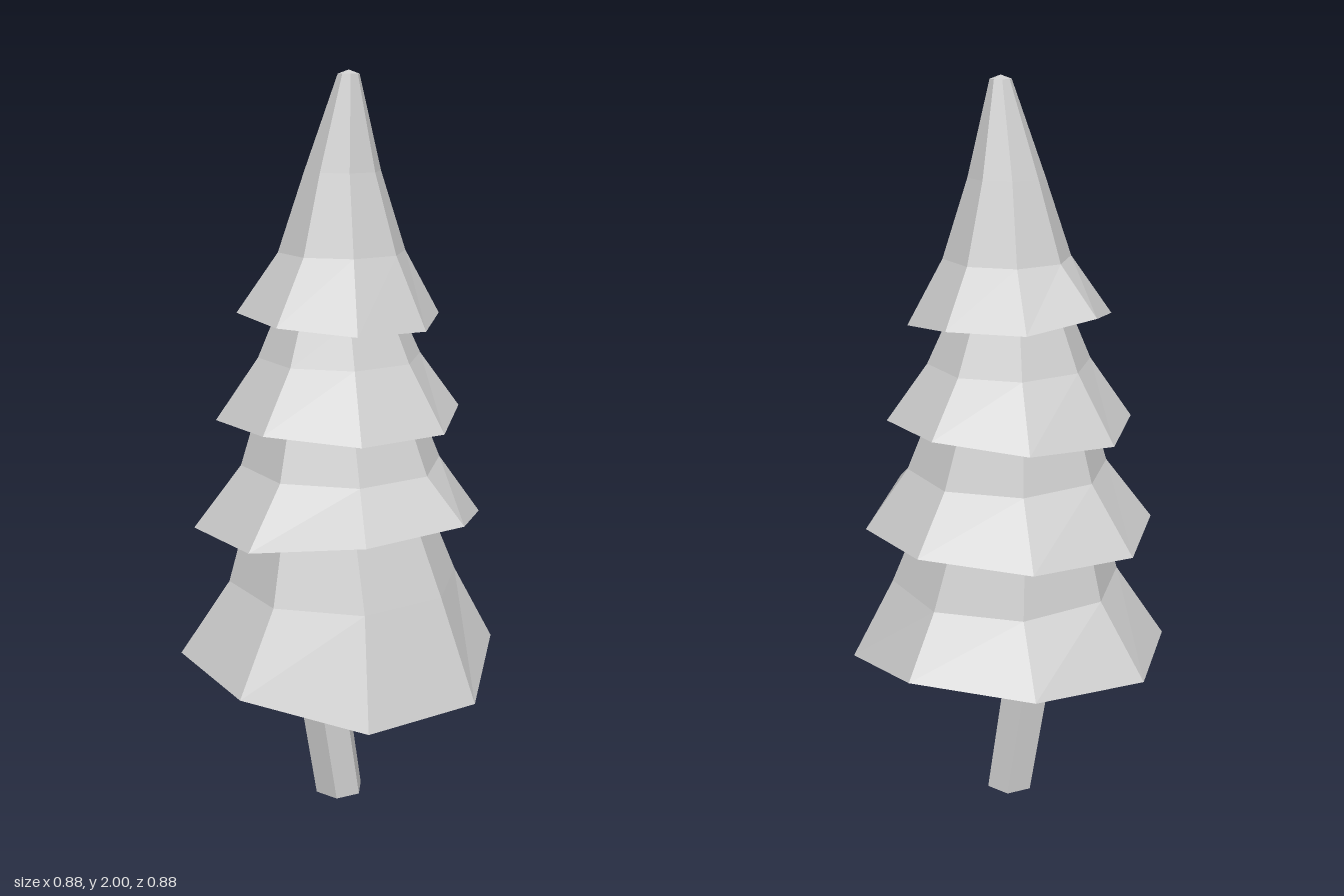
import * as THREE from 'three';

// Ring of points around (cx, cz); y is one height or a list of heights per corner.
function ring(sides, r, y, cx = 0, cz = 0) {
  return Array.from({ length: sides }, (_, i) => {
    const a = (i / sides) * Math.PI * 2;
    return new THREE.Vector3(cx + r * Math.cos(a), Array.isArray(y) ? y[i] : y, cz + r * Math.sin(a));
  });
}

function centre(points) {
  const c = new THREE.Vector3();
  points.forEach((p) => c.add(p));
  return c.divideScalar(points.length);
}

// Closed faceted skin through rings listed from bottom to top.
function loft(rings, capRise = 0) {
  const tris = [];
  const n = rings[0].length;
  const last = rings[rings.length - 1];
  const bottom = centre(rings[0]);
  const top = centre(last);
  top.y += capRise;
  for (let i = 0; i < n; i++) {
    const j = (i + 1) % n;
    for (let k = 0; k + 1 < rings.length; k++) {
      const lo = rings[k], hi = rings[k + 1];
      tris.push(lo[i], hi[i], lo[j], lo[j], hi[i], hi[j]);
    }
    tris.push(bottom, rings[0][i], rings[0][j], top, last[j], last[i]);
  }
  const geometry = new THREE.BufferGeometry().setFromPoints(tris);
  geometry.computeVertexNormals();
  return geometry;
}

export function createModel() {
  const tree = new THREE.Group();
  tree.name = 'pineTree';
  const grey = new THREE.MeshStandardMaterial({ color: 0xcccccc });
  grey.name = 'plain grey';

  const add = (name, geometry) => {
    const mesh = new THREE.Mesh(geometry, grey);
    mesh.name = name;
    tree.add(mesh);
  };

  // Crooked six-sided trunk, running up into the lowest tier
  add('trunk', loft([
    ring(6, 0.07, 0),
    ring(6, 0.073, 0.31, -0.037, 0.025),
    ring(6, 0.07, 0.6, 0.0, 0.01),
  ]));

  // Branch tiers: uneven rim heights, starting at +x and turning towards +z,
  // then the upper rings as [radius, y, cx]
  const tiers = [
    { name: 'bottomTier', r: 0.44, rim: [0.38, 0.38, 0.44, 0.45, 0.46, 0.49, 0.505, 0.44],
      rings: [[0.315, 0.655, 0.015], [0.255, 0.83, 0], [0.22, 0.95, 0]] },
    { name: 'lowerMiddleTier', r: 0.395, rim: [0.865, 0.86, 0.825, 0.81, 0.805, 0.82, 0.835, 0.815],
      rings: [[0.272, 0.98, 0.008], [0.226, 1.11, 0], [0.19, 1.2, 0]] },
    { name: 'upperMiddleTier', r: 0.33, rim: [1.1, 1.1, 1.115, 1.105, 1.095, 1.11, 1.13, 1.12],
      rings: [[0.218, 1.27, 0.003], [0.167, 1.385, 0], [0.14, 1.46, 0]] },
    { name: 'topTier', r: 0.27, rim: [1.36, 1.365, 1.38, 1.39, 1.42, 1.4, 1.4, 1.375],
      rings: [[0.168, 1.545, 0.01], [0.1, 1.75, 0.012], [0.028, 1.99, 0.03]], capRise: 0.01 },
  ];
  for (const { name, r, rim, rings, capRise } of tiers) {
    add(name, loft([
      ring(8, r, rim),
      ...rings.map(([radius, y, cx]) => ring(8, radius, y, cx)),
    ], capRise));
  }
  return tree;
}
